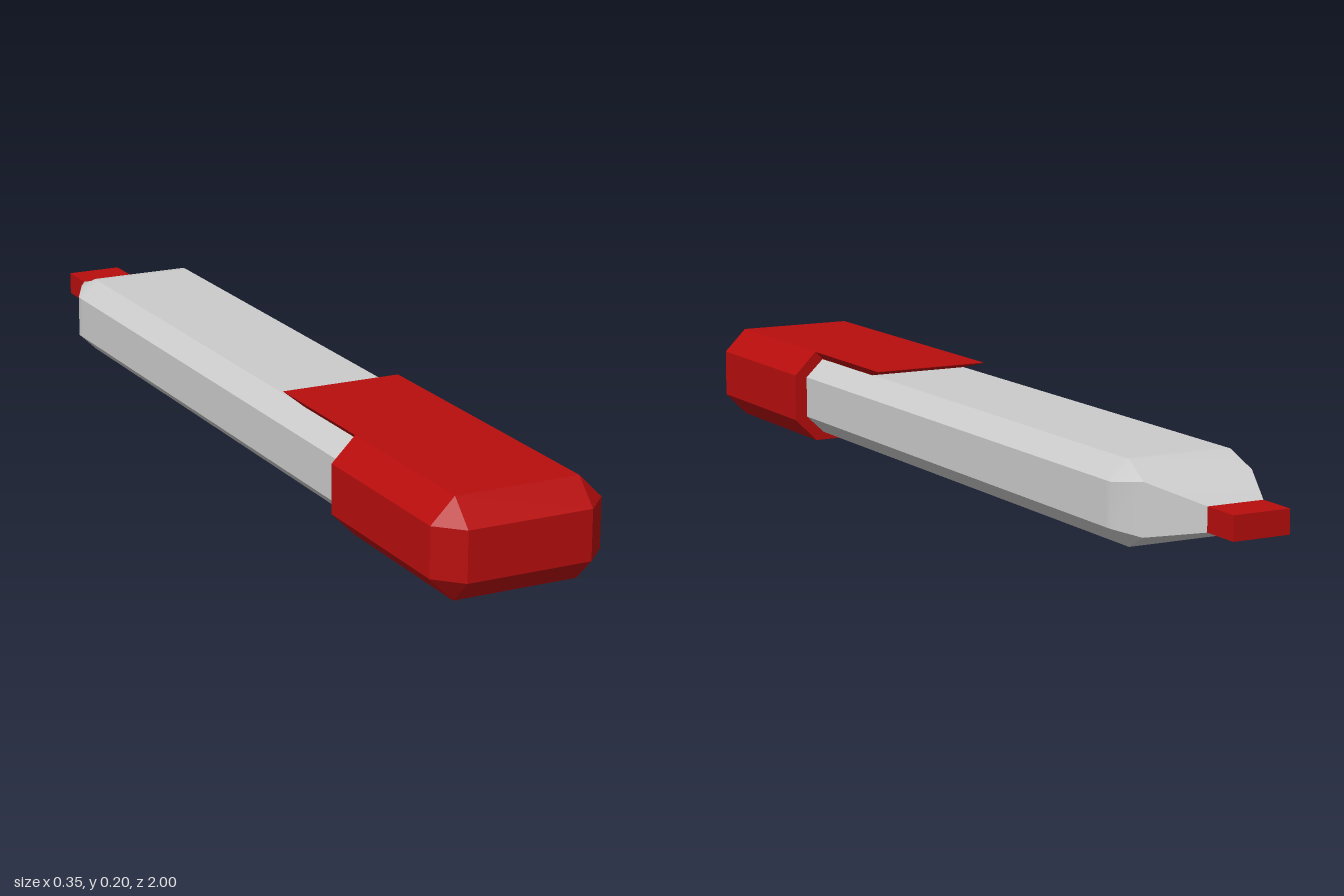
import * as THREE from 'three';
import { toCreasedNormals } from 'three/addons/utils/BufferGeometryUtils.js';

const MID = 0.1; // height of the centre line

// Chamfered rectangle, counter-clockwise seen from the front.
function octagon(z, w, h, cx = 0, cy = 0) {
  return [
    [w, -h + cy], [w, h - cy], [w - cx, h], [-w + cx, h],
    [-w, h - cy], [-w, -h + cy], [-w + cx, -h], [w - cx, -h],
  ].map(([x, y]) => new THREE.Vector3(x, MID + y, z));
}

// Closed skin through rings listed from front to back.
function loft(rings, crease) {
  const pos = [];
  const tri = (a, b, c) => {
    const n = b.clone().sub(a).cross(c.clone().sub(a));
    if (n.length() > 1e-9) for (const p of [a, b, c]) pos.push(p.x, p.y, p.z);
  };
  const n = rings[0].length;
  for (let r = 0; r < rings.length - 1; r++) {
    const near = rings[r], far = rings[r + 1];
    for (let i = 0; i < n; i++) {
      const j = (i + 1) % n;
      tri(near[i], far[i], far[j]);
      tri(near[i], far[j], near[j]);
    }
  }
  const first = rings[0], last = rings[rings.length - 1];
  for (let i = 1; i < n - 1; i++) {
    tri(first[0], first[i], first[i + 1]);
    tri(last[0], last[i + 1], last[i]);
  }
  const geo = new THREE.BufferGeometry();
  geo.setAttribute('position', new THREE.Float32BufferAttribute(pos, 3));
  return toCreasedNormals(geo, crease);
}

export function createModel() {
  const group = new THREE.Group();
  const grey = new THREE.MeshStandardMaterial({ color: 0xcccccc });
  const red = new THREE.MeshStandardMaterial({ color: 0xb80d0d });
  const add = (name, geo, mat) => {
    const mesh = new THREE.Mesh(geo, mat);
    mesh.name = name;
    group.add(mesh);
    return mesh;
  };

  // Barrel with chamfered edges, blending into a flat tapered nose
  add('barrel', loft([
    octagon(0.6, 0.15, 0.082, 0.04, 0.038),
    octagon(-0.71, 0.15, 0.082, 0.04, 0.038),
    octagon(-0.73, 0.15, 0.082, 0.04, 0.038),
    octagon(-0.79, 0.118, 0.052),
    octagon(-0.915, 0.06, 0.024),
  ], 0.6), grey);

  // Cap with a bevelled front end
  add('cap', loft([
    octagon(1, 0.128, 0.05),
    octagon(0.95, 0.177, 0.099, 0.049, 0.049),
    octagon(0.57, 0.177, 0.099, 0.049, 0.049),
  ], 0.3), red);

  // Clip: undercut sides and a slanted underside at its free end
  const clipRing = (z, bottom) => {
    const inset = 0.199 - bottom;
    return [[0.128 - inset, bottom], [0.128, 0.199], [-0.128, 0.199], [-0.128 + inset, bottom]]
      .map(([x, y]) => new THREE.Vector3(x, y, z));
  };
  add('clip', loft([clipRing(0.58, 0.18), clipRing(0.33, 0.18), clipRing(0.265, 0.198)], 0.2), red);

  // Writing tip
  add('tip', new THREE.BoxGeometry(0.12, 0.048, 0.085), red).position.set(0, MID, -0.9575);

  return group;
}
